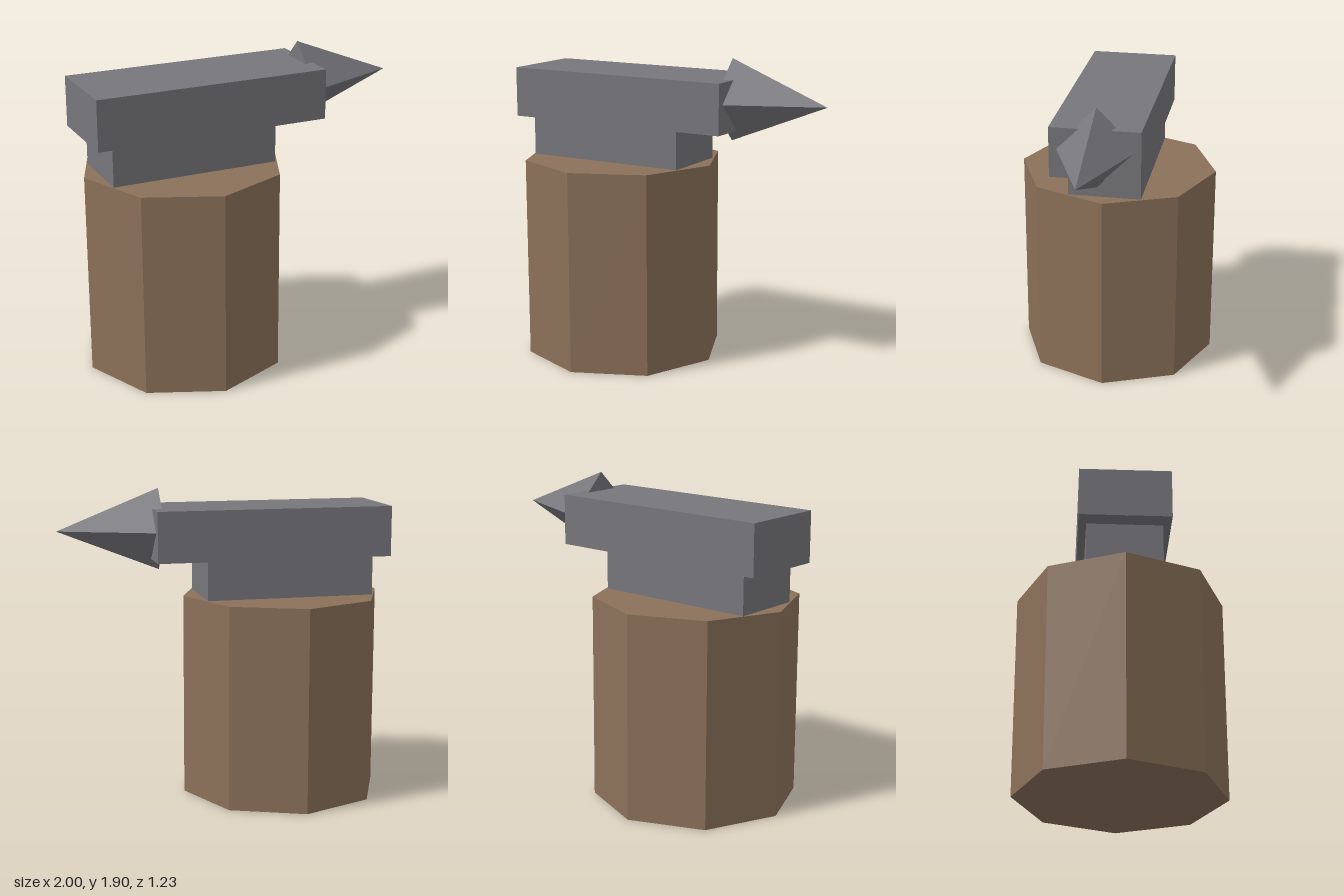
import * as THREE from 'three';

const wood = new THREE.MeshStandardMaterial({ name: 'wood', color: 0x8b7159, flatShading: true });
const iron = new THREE.MeshStandardMaterial({ name: 'iron', color: 0x77767b, flatShading: true });

export function createModel() {
  const model = new THREE.Group();
  model.name = 'anvilOnStump';

  const add = (name, geometry, material, x, y) => {
    const mesh = new THREE.Mesh(geometry, material);
    mesh.name = name;
    mesh.position.set(x, y, 0);
    model.add(mesh);
    return mesh;
  };

  // Octagonal stump, corners on the axes
  add('stump', new THREE.CylinderGeometry(0.617, 0.617, 1.24, 8), wood, -0.383, 0.62);

  // Anvil foot and body
  add('anvilFoot', new THREE.BoxGeometry(1.03, 0.24, 0.444), iron, -0.385, 1.36);
  add('anvilBody', new THREE.BoxGeometry(1.44, 0.305, 0.536), iron, -0.28, 1.6325);

  // Four-sided horn pointing to +x, its base sunk into the body
  const horn = add('anvilHorn', new THREE.ConeGeometry(0.245, 0.615, 4), iron, 0.6925, 1.655);
  horn.rotation.z = -Math.PI / 2;

  return model;
}
